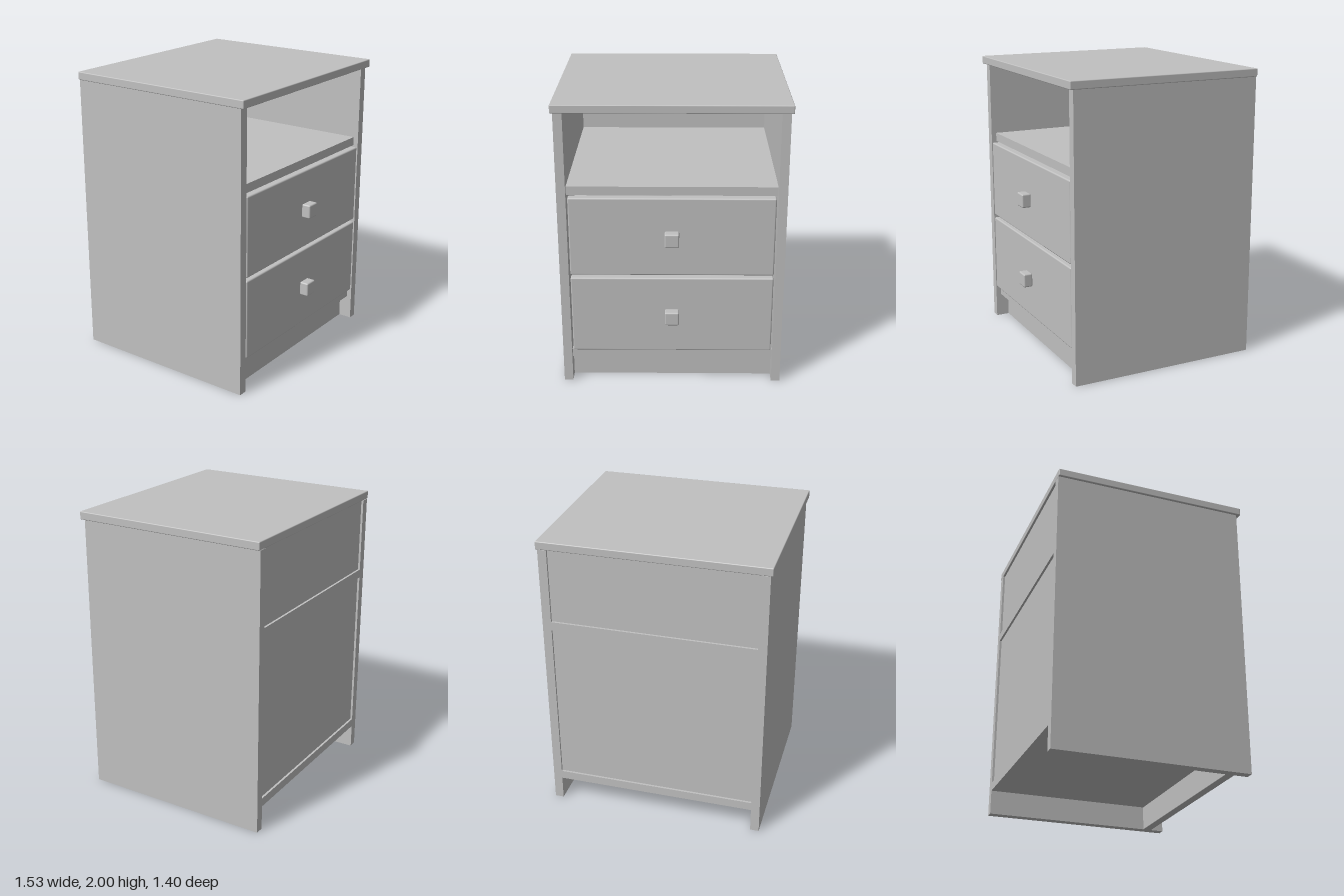
import * as THREE from 'three';
import { RoundedBoxGeometry } from 'three/addons/geometries/RoundedBoxGeometry.js';

const paint = new THREE.MeshStandardMaterial({ color: 0xc0c0c0 });
paint.name = 'plain grey';

export function createModel() {
  const cabinet = new THREE.Group();
  cabinet.name = 'bedsideCabinet';

  // Adds a box given its extents on each axis; a radius softens its edges.
  function panel(name, [x0, x1], [y0, y1], [z0, z1], radius = 0) {
    const size = [x1 - x0, y1 - y0, z1 - z0];
    const geometry = radius
      ? new RoundedBoxGeometry(...size, 2, radius)
      : new THREE.BoxGeometry(...size);
    const mesh = new THREE.Mesh(geometry, paint);
    mesh.name = name;
    mesh.position.set((x0 + x1) / 2, (y0 + y1) / 2, (z0 + z1) / 2);
    cabinet.add(mesh);
  }

  const inner = [-0.69, 0.69];
  const back = -0.7, front = 0.635;

  // Carcass
  panel('top', [-0.765, 0.765], [1.945, 2], [back, 0.662], 0.006);
  panel('leftSide', [0.69, 0.75], [0, 1.945], [back, front]);
  panel('rightSide', [-0.75, -0.69], [0, 1.945], [back, front]);
  panel('nicheShelf', inner, [1.375, 1.435], [back, 0.6]);
  panel('bottomShelf', inner, [0.17, 0.23], [back, 0.6]);
  panel('plinth', inner, [0, 0.17], [0.48, 0.54]);

  // Back panels, slightly recessed between the shelves
  panel('upperBack', inner, [1.435, 1.945], [-0.685, -0.66]);
  panel('lowerBack', inner, [0.23, 1.375], [-0.685, -0.66]);

  // Drawers: front board, box behind it and a square knob
  for (const [label, y0, y1] of [['lower', 0.24, 0.793], ['upper', 0.815, 1.367]]) {
    const mid = (y0 + y1) / 2;
    panel(label + 'DrawerFront', [-0.68, 0.68], [y0, y1], [0.575, front], 0.01);
    panel(label + 'DrawerBox', [-0.65, 0.65], [y0 + 0.03, y1 - 0.05], [-0.6, 0.58]);
    panel(label + 'Knob', [-0.048, 0.048], [mid - 0.048, mid + 0.048], [front, 0.7], 0.01);
  }
  return cabinet;
}
